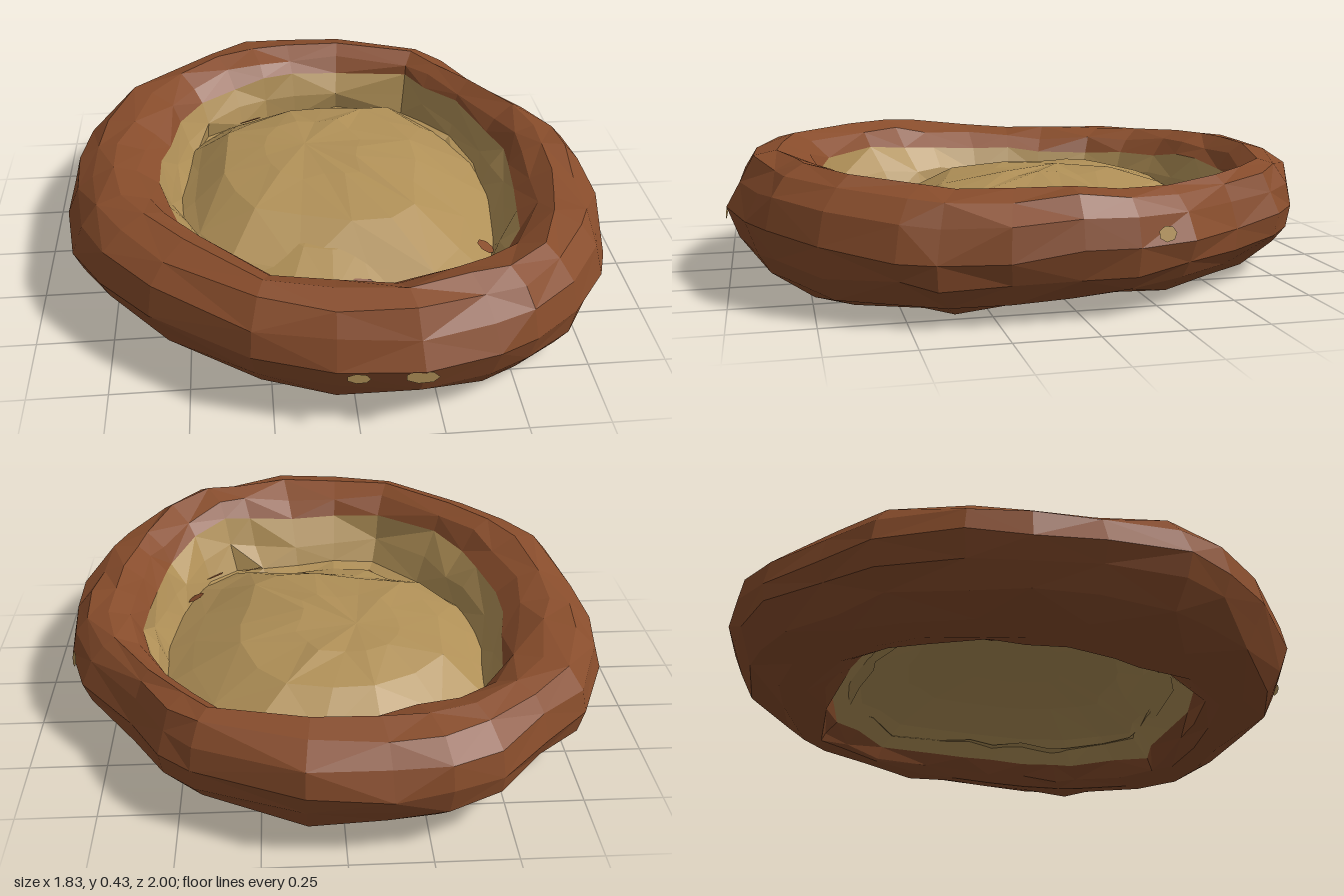
import * as THREE from 'three';

// Plan outlines as x, z pairs, running from +x towards -z
const OUTER = [
  0.91, 0.23, 0.905, 0.02, 0.89, -0.15, 0.83, -0.34, 0.65, -0.55, 0.55, -0.74, 0.45, -0.83, 0.12, -0.985,
  -0.13, -1, -0.3, -0.97, -0.46, -0.89, -0.62, -0.73, -0.77, -0.59, -0.88, -0.34, -0.915, -0.15,
  -0.915, 0.07, -0.87, 0.34, -0.77, 0.5, -0.61, 0.68, -0.31, 0.9, -0.07, 0.975, 0.18, 1,
  0.41, 0.94, 0.53, 0.88, 0.69, 0.74, 0.83, 0.54, 0.87, 0.43,
];
const INNER = [
  0.65, 0, 0.62, -0.24, 0.52, -0.47, 0.34, -0.69, 0.1, -0.71, -0.15, -0.7, -0.4, -0.6, -0.53, -0.45,
  -0.57, -0.25, -0.62, 0, -0.56, 0.25, -0.4, 0.5, -0.2, 0.69, 0.2, 0.69, 0.42, 0.65, 0.56, 0.5, 0.62, 0.25,
];
const CUSHION = [
  0.6, -0.02, 0.58, -0.24, 0.48, -0.49, 0.34, -0.68, 0.08, -0.7, -0.14, -0.69, -0.38, -0.59, -0.54, -0.42,
  -0.56, -0.22, -0.57, 0.02, -0.53, 0.24, -0.4, 0.42, -0.15, 0.53, 0.12, 0.55, 0.36, 0.58, 0.5, 0.45, 0.55, 0.22,
];
// Bolster top and bottom heights every 30 degrees from +x towards +z
const TOP = [0.375, 0.38, 0.43, 0.42, 0.435, 0.43, 0.38, 0.37, 0.38, 0.4, 0.38, 0.36];
const LOW = [0.025, 0, 0.01, 0.045, 0.05, 0.04, 0.04, 0.04, 0.04, 0.035, 0.04, 0.035];

const pairs = (list) => {
  const out = [];
  for (let i = 0; i < list.length; i += 2) out.push([list[i], list[i + 1]]);
  return out;
};

const around = (table, angle) => {
  const u = ((angle / (Math.PI * 2) + 1) % 1) * table.length;
  const i = Math.floor(u);
  return THREE.MathUtils.lerp(table[i % table.length], table[(i + 1) % table.length], u - i);
};

// Repeatable unevenness in -1..1
const noise = (i, j) => {
  const s = Math.sin(i * 127.1 + j * 311.7) * 43758.5453;
  return (s - Math.floor(s)) * 2 - 1;
};

// Distance from the middle to an outline in a given direction
function reach(outline, angle) {
  const dx = Math.cos(angle), dz = Math.sin(angle);
  for (let i = 0; i < outline.length; i++) {
    const [ax, az] = outline[i], [bx, bz] = outline[(i + 1) % outline.length];
    const ex = bx - ax, ez = bz - az;
    const d = dx * ez - dz * ex;
    if (Math.abs(d) < 1e-9) continue;
    const r = (ax * ez - az * ex) / d;
    const u = (ax * dz - az * dx) / d;
    if (r > 0 && u >= -1e-6 && u <= 1 + 1e-6) return r;
  }
  return 0.65;
}

// Closed loft: point(column, row) joined around all columns
function loft(columns, rows, point) {
  const pos = [];
  for (let i = 0; i < columns; i++) {
    const k = (i + 1) % columns;
    for (let j = 0; j < rows - 1; j++) {
      const a = point(i, j), b = point(i, j + 1), c = point(k, j + 1), d = point(k, j);
      if ((i + j) % 2) pos.push(...a, ...b, ...c, ...a, ...c, ...d);
      else pos.push(...a, ...b, ...d, ...b, ...c, ...d);
    }
  }
  const geo = new THREE.BufferGeometry();
  geo.setAttribute('position', new THREE.Float32BufferAttribute(pos, 3));
  geo.computeVertexNormals();
  return geo;
}

export function createModel() {
  const group = new THREE.Group();
  const material = (name, color) => {
    const m = new THREE.MeshStandardMaterial({ color, flatShading: true, side: THREE.DoubleSide });
    m.name = name;
    return m;
  };
  const brown = material('russet brown', 0x874c2b);
  const tan = material('straw tan', 0xb09057);
  const add = (name, geo, mat) => {
    const mesh = new THREE.Mesh(geo, mat);
    mesh.name = name;
    group.add(mesh);
    return mesh;
  };

  const outer = pairs(OUTER), inner = pairs(INNER), cushion = pairs(CUSHION);

  // Bolster section: [inner-to-outer fraction, height fraction]
  const wall = [[-0.6, 0.28], [-0.42, 0.31], [-0.22, 0.52], [0, 0.76]];
  const roll = [[0, 0.76], [0.16, 0.9], [0.42, 1], [0.7, 0.95], [0.9, 0.77], [1, 0.53],
    [0.92, 0.33], [0.71, 0.15], [0.38, 0.03], [0.05, 0], [-0.14, 0.05], [-0.3, 0.17]];
  // The lining slopes widely at the front and stands steep at the back
  const slope = (t, a) => (t < 0 && t > -0.5 ? 0.6 + 0.35 * Math.sin(a) : 1);
  const section = (profile, lean = () => 1) => (i, j) => {
    const [x, z] = outer[i];
    const a = Math.atan2(z, x), ro = Math.hypot(x, z), ri = reach(inner, a);
    const top = around(TOP, a), low = around(LOW, a);
    const [t, h] = profile[j];
    // Same seed for shared points, so neighbouring strips meet along the seam
    const seed = Math.round(t * 100 + h * 1000);
    const r = ri + (ro - ri) * t * lean(t, a) + (t < 1 ? 0.016 * noise(i, seed) : 0);
    const y = low + (top - low) * h + 0.014 * noise(i + 50, seed) * (h > 0 && h < 1 ? 1 : 0.3);
    return [Math.cos(a) * r, Math.max(0, y), Math.sin(a) * r];
  };
  const rollPoint = section(roll);
  add('bolster', loft(outer.length, roll.length, rollPoint), brown);
  add('bolsterLining', loft(outer.length, wall.length, section(wall, slope)), tan);

  // Hollow underside, carried on from the bolster's lower edge: [scale, rise]
  const hollow = [[1, 0], [0.86, 0.4], [0.6, 0.76], [0.3, 0.95], [0, 1]];
  add('underside', loft(outer.length, hollow.length, (i, j) => {
    const [x, y, z] = rollPoint(i, roll.length - 1), [s, h] = hollow[j];
    return [x * s, THREE.MathUtils.lerp(y, 0.265, h), z * s];
  }), tan);

  // Domed cushion top: [outline scale, height], highest towards the back left
  const dome = [[0, 0.315], [0.3, 0.31], [0.6, 0.275], [0.85, 0.185], [1, 0.13]];
  const cx = -0.08, cz = -0.16;
  add('cushion', loft(cushion.length, dome.length, (i, j) => {
    const [x, z] = cushion[i], [s, h] = dome[j];
    const wob = s > 0 && s < 0.9 ? 1 : 0;
    const k = s + 0.03 * wob * noise(i, j + 7);
    return [cx + (x - cx) * k, h + 0.008 * wob * noise(i + 20, j), cz + (z - cz) * k];
  }), tan);

  // Small flat patches: position, facing direction, width, height
  const patch = (name, mat, [x, y, z], [nx, ny, nz], w, h) => {
    const mesh = add(name, new THREE.CircleGeometry(1, 7), mat);
    mesh.scale.set(w, h, 1);
    mesh.position.set(x, y, z);
    mesh.lookAt(x + nx, y + ny, z + nz);
  };
  patch('frontPatch', tan, [-0.01, 0.235, 0.99], [-0.1, 0.1, 1], 0.035, 0.017);
  patch('frontPatch', tan, [0.17, 0.235, 0.999], [-0.05, 0.1, 1], 0.05, 0.022);
  patch('sidePatch', tan, [0.868, 0.25, -0.235], [0.95, 0.25, -0.3], 0.033, 0.024);
  patch('cushionPatch', brown, [0.05, 0.168, 0.5], [0, 0.83, 0.45], 0.06, 0.03);
  patch('cushionPatch', brown, [0.29, 0.165, 0.54], [0.2, 0.83, 0.4], 0.05, 0.035);
  patch('cushionPatch', brown, [0.44, 0.16, 0.5], [0.3, 0.83, 0.3], 0.04, 0.04);
  patch('cushionPatch', brown, [0.5, 0.165, 0.32], [0.45, 0.83, 0.1], 0.03, 0.035);
  patch('cushionPatch', brown, [-0.27, 0.172, -0.59], [-0.2, 0.83, -0.4], 0.05, 0.03);

  return group;
}
